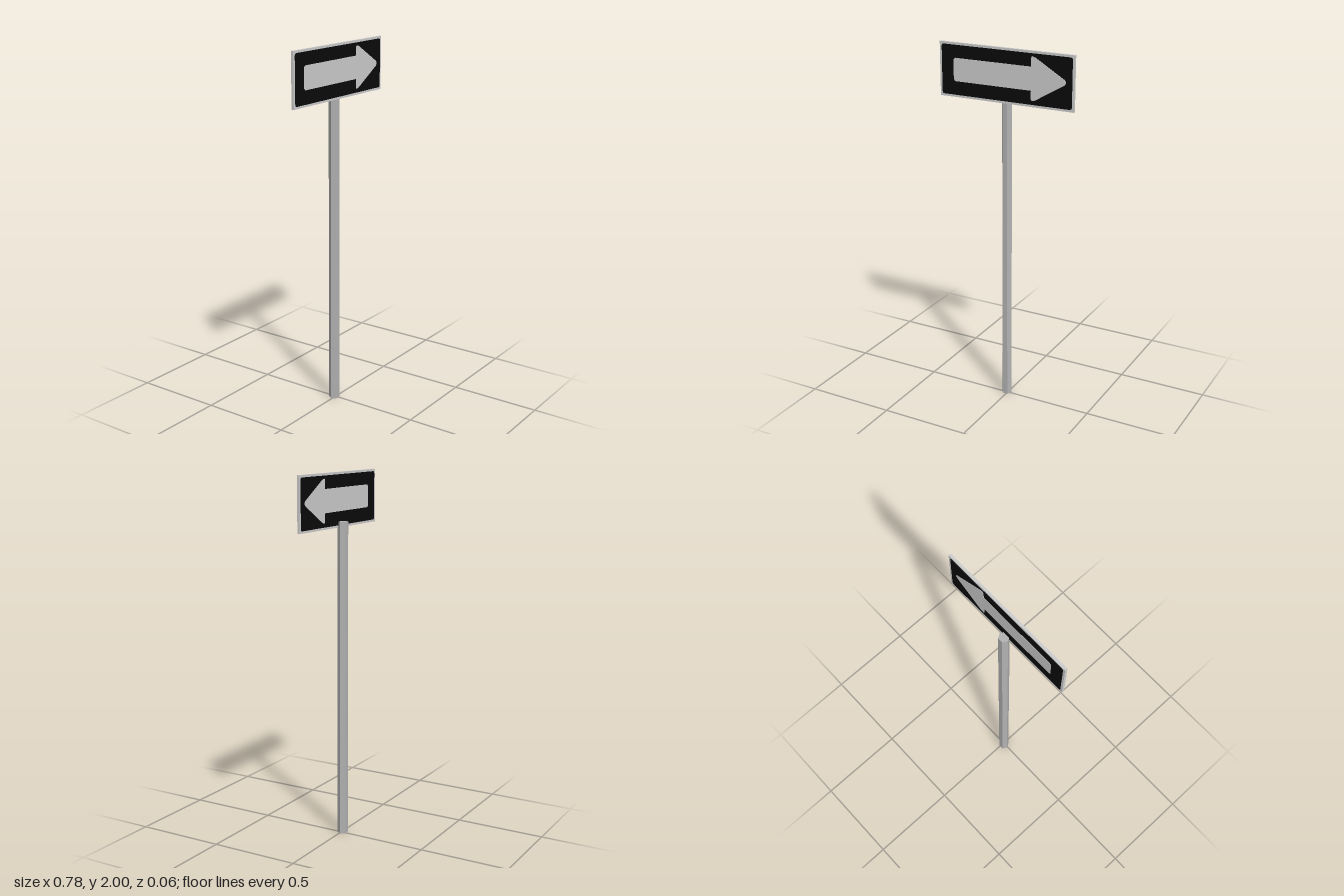
import * as THREE from 'three';

export function createModel() {
  const model = new THREE.Group();
  model.name = 'arrowSign';

  const mat = (name, color) => {
    const m = new THREE.MeshStandardMaterial({ color });
    m.name = name;
    return m;
  };
  const paleGrey = mat('paleGrey', 0xcccccc);
  const postGrey = mat('postGrey', 0xb2b2b2);
  const black = mat('black', 0x0a0a0a);

  const add = (name, geometry, material, x = 0, y = 0, z = 0) => {
    const mesh = new THREE.Mesh(geometry, material);
    mesh.name = name;
    mesh.position.set(x, y, z);
    model.add(mesh);
  };

  // Hexagonal post, corners pointing left and right
  const postHeight = 1.743;
  const post = new THREE.CylinderGeometry(0.029, 0.029, postHeight, 6).toNonIndexed();
  post.rotateY(Math.PI / 6 + Math.PI / 3 * 1);
  post.computeVertexNormals();
  add('post', post, postGrey, -0.007, postHeight / 2, -0.005);

  // Board
  const boardZ = 0.0185, boardDepth = 0.014;
  add('board', new THREE.BoxGeometry(0.778, 0.289, boardDepth), paleGrey, -0.001, 1.8555, boardZ);

  // Black panel outline with rounded corners
  const panel = new THREE.Shape();
  const l = -0.378, r = 0.377, b = 1.723, t = 1.988, c = 0.014;
  panel.moveTo(l + c, b);
  panel.lineTo(r - c, b).quadraticCurveTo(r, b, r, b + c);
  panel.lineTo(r, t - c).quadraticCurveTo(r, t, r - c, t);
  panel.lineTo(l + c, t).quadraticCurveTo(l, t, l, t - c);
  panel.lineTo(l, b + c).quadraticCurveTo(l, b, l + c, b);

  // Arrow outline with blunted corners, pointing to +x
  const mid = 1.858;
  const half = [
    [-0.307, 0.052], [-0.297, 0.062], [0.147, 0.062],
    [0.147, 0.107], [0.153, 0.115], [0.172, 0.110], [0.335, 0.014], [0.343, 0.004],
  ];
  const outline = [...half, ...half.map(([x, y]) => [x, -y]).reverse()];
  const arrow = new THREE.Shape(outline.map(([x, y]) => new THREE.Vector2(x, mid + y)));

  // Painted plates on both faces of the board
  const plate = (shape, depth) =>
    new THREE.ExtrudeGeometry(shape, { depth, bevelEnabled: false, curveSegments: 4 });
  for (const [side, dir] of [['front', 1], ['back', -1]]) {
    const surface = boardZ + dir * boardDepth / 2;
    for (const [name, shape, depth, material] of [
      ['Panel', panel, 0.001, black],
      ['Arrow', arrow, 0.002, paleGrey],
    ]) {
      add(side + name, plate(shape, depth), material, 0, 0, dir > 0 ? surface : surface - depth);
    }
  }

  return model;
}
